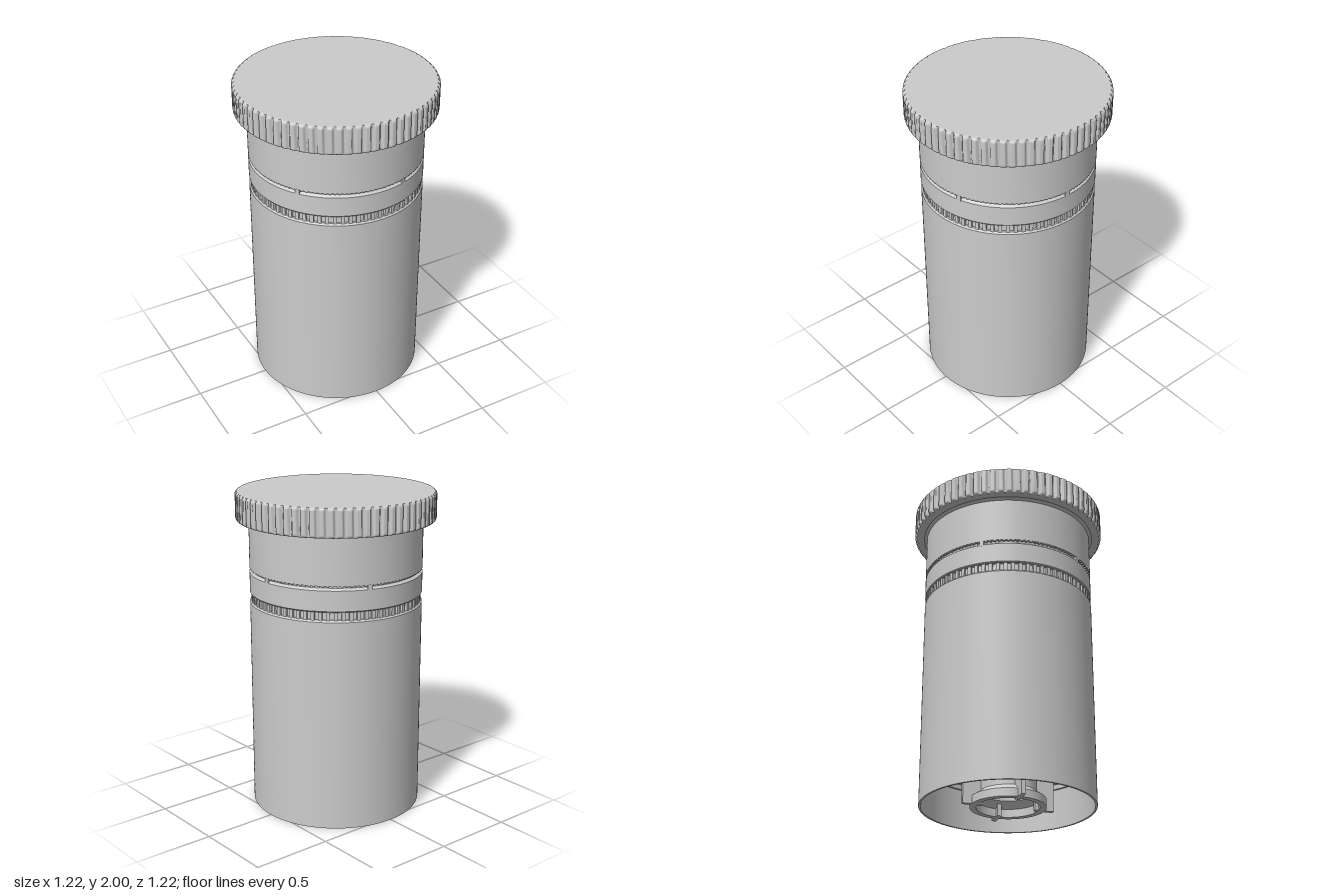
import * as THREE from 'three';
import { mergeGeometries } from 'three/addons/utils/BufferGeometryUtils.js';

const V = (p) => new THREE.Vector2(p[0], p[1]);

export function createModel() {
  const group = new THREE.Group();
  const grey = new THREE.MeshStandardMaterial({ color: 0xcccccc });

  const add = (name, geometry) => {
    const mesh = new THREE.Mesh(geometry, grey);
    mesh.name = name;
    group.add(mesh);
    return mesh;
  };

  // Turned solid: every profile point is doubled so that its edge stays sharp
  const turned = (profile, segments = 128) => {
    const g = new THREE.LatheGeometry(profile.flatMap((p) => [V(p), V(p)]), segments);
    g.computeVertexNormals();
    return g;
  };

  // Boxes repeated around the axis; start is measured from +z towards +x
  const ringOfBoxes = (count, [w, h, d], r, y, start = 0) => {
    const parts = [];
    for (let i = 0; i < count; i++) {
      const g = new THREE.BoxGeometry(w, h, d);
      g.translate(0, y, r);
      g.rotateY(start + (i / count) * Math.PI * 2);
      parts.push(g);
    }
    return mergeGeometries(parts);
  };

  // Hollow body with an inner ledge near its open foot
  add('body', turned([
    [0.52, 0], [0.533, 0], [0.533, 1.315], [0.523, 1.326], [0.48, 1.326],
    [0.48, 0.28], [0.505, 0.28], [0.505, 0.25], [0.52, 0.25], [0.52, 0],
  ]));

  // Cap skirt and tamper band, parted by a narrow groove
  add('capSkirt', turned([
    [0.47, 1.32], [0.51, 1.32], [0.51, 1.375], [0.527, 1.375], [0.533, 1.382],
    [0.533, 1.505], [0.516, 1.518], [0.516, 1.532], [0.533, 1.532],
    [0.533, 1.835], [0.47, 1.835], [0.47, 1.32],
  ]));
  add('bandTeeth', ringOfBoxes(72, [0.022, 0.056, 0.02], 0.515, 1.35));
  add('grooveTeeth', ringOfBoxes(120, [0.012, 0.008, 0.014], 0.524, 1.53));
  add('breakawayBridges', ringOfBoxes(5, [0.028, 0.036, 0.02], 0.524, 1.516, Math.PI / 10));

  // Knurled knob: rounded disc whose rim is cut back by regular flutes
  const rim = [];
  const R = 0.612, round = 0.018;
  for (let i = 0; i <= 5; i++) {
    const a = -Math.PI / 2 + (i / 5) * (Math.PI / 2);
    rim.push([R - round + round * Math.cos(a), 1.826 + round + round * Math.sin(a)]);
  }
  for (let i = 0; i <= 5; i++) {
    const a = (i / 5) * (Math.PI / 2);
    rim.push([R - round + round * Math.cos(a), 2 - round + round * Math.sin(a)]);
  }
  const flutes = 72;
  const knobGeo = new THREE.LatheGeometry(
    [[0, 1.826], [0.55, 1.826], [0.58, 1.826], ...rim, [0.585, 2], [0.55, 2], [0, 2]].map(V), flutes * 8);
  const pos = knobGeo.attributes.position;
  for (let i = 0; i < pos.count; i++) {
    const x = pos.getX(i), z = pos.getZ(i);
    const r = Math.hypot(x, z);
    const limit = R - 0.017 * Math.max(0, Math.cos(flutes * Math.atan2(x, z)));
    if (r > limit) {
      pos.setX(i, (x * limit) / r);
      pos.setZ(i, (z * limit) / r);
    }
  }
  knobGeo.computeVertexNormals();
  add('knob', knobGeo);

  // Fillet where the skirt meets the knob
  add('knobFillet', turned([[0.532, 1.812], [0.54, 1.818], [0.552, 1.827]]));

  // Central stem with a wider collar at its open foot
  add('stem', turned([
    [0.19, 0], [0.23, 0], [0.23, 0.05], [0.175, 0.09], [0.175, 1.83],
    [0, 1.83], [0, 0.6], [0.15, 0.6], [0.15, 0.09], [0.19, 0.05], [0.19, 0],
  ], 64));
  add('stemFins', ringOfBoxes(4, [0.028, 1.3, 0.12], 0.225, 0.65));

  // Upright ribs on the inside of the body
  add('innerRibs', ringOfBoxes(8, [0.025, 1.0, 0.045], 0.47, 0.79));

  return group;
}
